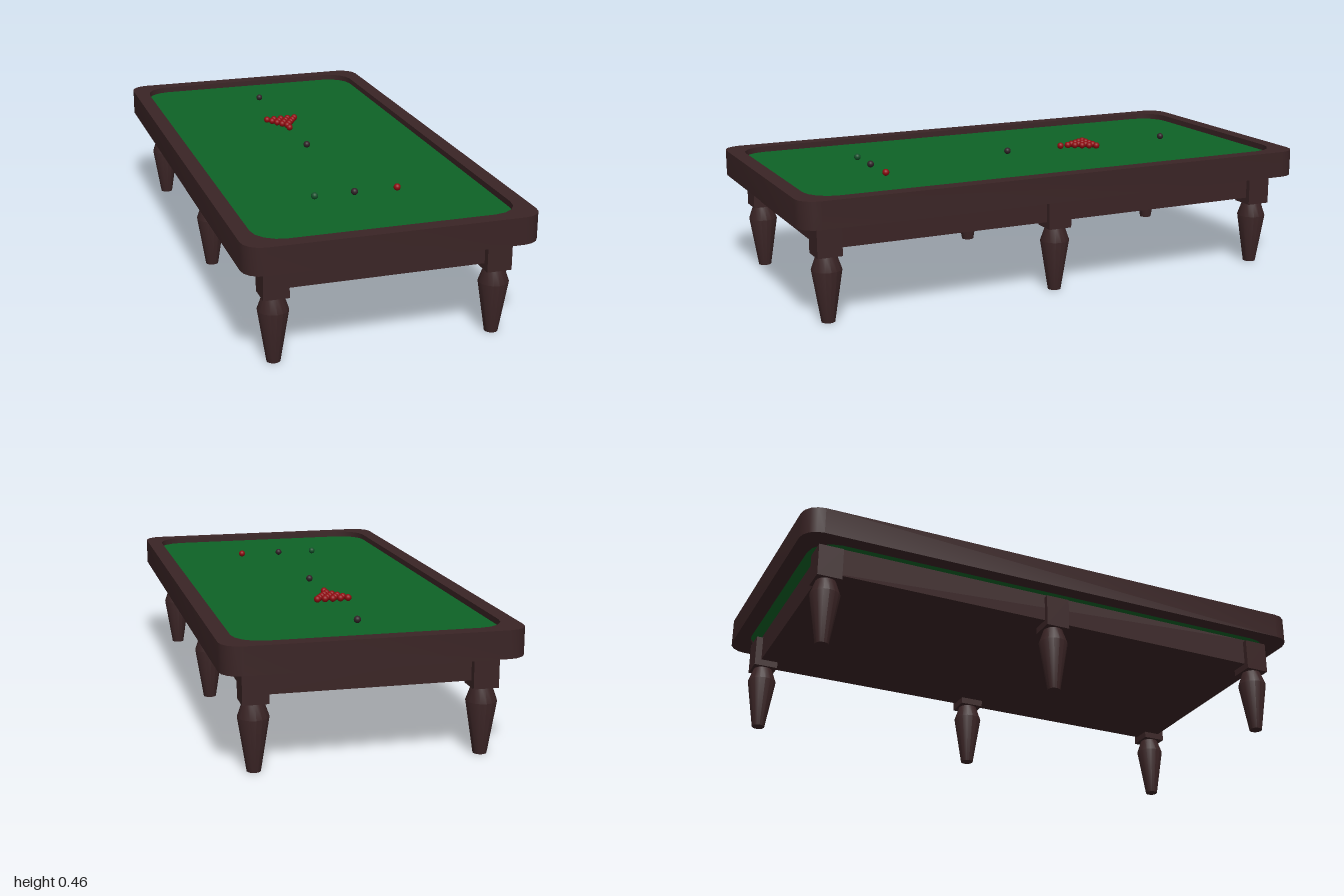
import * as THREE from 'three';
import { toCreasedNormals } from 'three/addons/utils/BufferGeometryUtils.js';

const mat = (name, color) => {
  const m = new THREE.MeshStandardMaterial({ color });
  m.name = name;
  return m;
};

// Rectangle with rounded corners, drawn counter-clockwise
function roundedRect(path, hx, hz, r) {
  path.moveTo(hx, -hz + r);
  path.absarc(hx - r, hz - r, r, 0, Math.PI / 2);
  path.absarc(-hx + r, hz - r, r, Math.PI / 2, Math.PI);
  path.absarc(-hx + r, -hz + r, r, Math.PI, Math.PI * 1.5);
  path.absarc(hx - r, -hz + r, r, Math.PI * 1.5, Math.PI * 2);
  return path;
}

// Flat slab standing on y0, made from a plan shape
function slab(shape, y0, y1) {
  const g = new THREE.ExtrudeGeometry(shape, { depth: y1 - y0, bevelEnabled: false, curveSegments: 2 });
  g.rotateX(-Math.PI / 2).translate(0, y0, 0);
  return toCreasedNormals(g, 0.9);
}

export function createModel() {
  const wood = mat('dark wood', 0x3a2425);
  const cloth = mat('green cloth', 0x0e6326);
  const red = mat('red ball', 0x8e0a10);
  const dark = mat('dark ball', 0x2e2226);
  const green = mat('green ball', 0x14502a);

  const model = new THREE.Group();
  model.name = 'snookerTable';
  const add = (name, geometry, material, x = 0, y = 0, z = 0, parent = model) => {
    const mesh = new THREE.Mesh(geometry, material);
    mesh.name = name;
    mesh.position.set(x, y, z);
    parent.add(mesh);
    return mesh;
  };

  // Rail frame with a rounded opening, and the cloth bed set inside it
  const frame = roundedRect(new THREE.Shape(), 0.517, 1, 0.07);
  frame.holes.push(roundedRect(new THREE.Path(), 0.461, 0.945, 0.1));
  add('rail', slab(frame, 0.36, 0.458), wood);
  add('clothBed', slab(roundedRect(new THREE.Shape(), 0.461, 0.945, 0.1), 0.37, 0.436), cloth);

  // Solid body under the rail
  add('apron', new THREE.BoxGeometry(0.84, 0.11, 1.8), wood, 0, 0.32, 0);

  // Six legs, each a square block above a tapered turned post
  const blockGeo = new THREE.BoxGeometry(0.09, 0.12, 0.09);
  const post = [[0, 0], [0.024, 0], [0.054, 0.188], [0.036, 0.24], [0, 0.24]];
  const postGeo = toCreasedNormals(
    new THREE.LatheGeometry(post.map(([r, y]) => new THREE.Vector2(r, y)), 16).toNonIndexed(), 0.6);
  for (const x of [-0.395, 0.395]) {
    for (const z of [-0.88, 0, 0.88]) {
      const leg = new THREE.Group();
      leg.name = 'leg';
      leg.position.set(x, 0, z);
      add('legBlock', blockGeo, wood, 0, 0.3, 0, leg);
      add('legPost', postGeo, wood, 0, 0, 0, leg);
      model.add(leg);
    }
  }

  // Balls: a rack of fifteen plus the single ones on their spots
  const R = 0.0127, cx = -0.006;
  const ballGeo = new THREE.SphereGeometry(R, 16, 12);
  const ball = (name, material, x, z) => add(name, ballGeo, material, x, 0.436 + R, z);
  for (let row = 0; row < 5; row++) {
    for (let i = 0; i <= row; i++) {
      ball('rackBall', red, cx + (i - row / 2) * 0.029, -0.268 - row * 0.0243);
    }
  }
  ball('rackTipBall', red, cx, -0.235);
  ball('topSpotBall', dark, cx, -0.7);
  ball('centreSpotBall', dark, cx, 0);
  ball('baulkCentreBall', dark, cx, 0.567);
  ball('baulkRightBall', red, 0.154, 0.567);
  ball('baulkLeftBall', green, -0.153, 0.567);

  return model;
}
